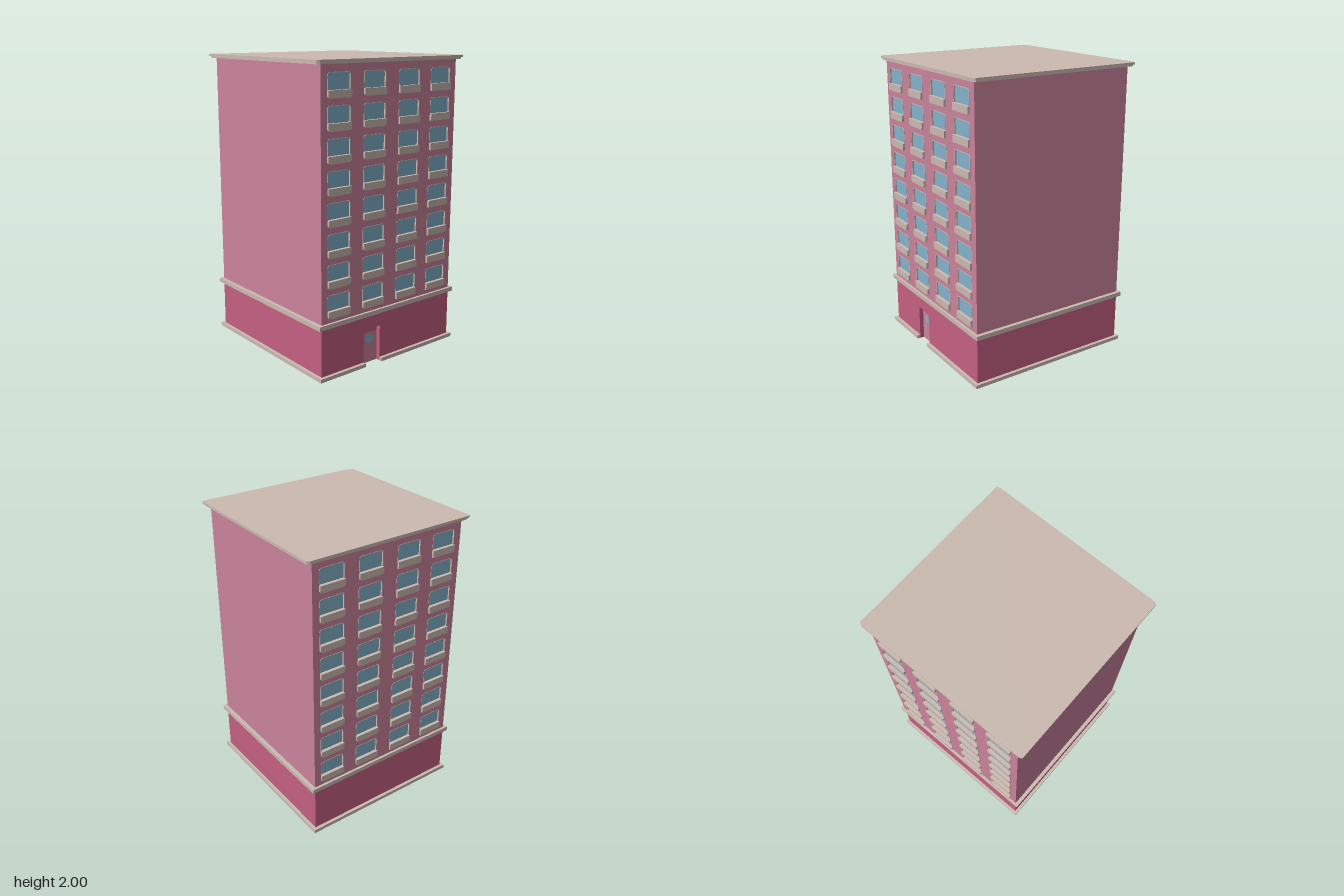
import * as THREE from 'three';

const mat = (name, color) => {
  const m = new THREE.MeshStandardMaterial({ color, side: THREE.DoubleSide });
  m.name = name;
  return m;
};

// Half width, half depth, and the heights of the two storeys' walls
const W = 0.57, D = 0.585, BAND = 0.36, TOP = 1.98;
const DOOR = { x0: -0.22, x1: -0.08, h: 0.25, recess: 0.03 };
const COLUMNS = [-0.432, -0.148, 0.145, 0.427];
const ROWS = 8, ROW_STEP = 0.1957, ROW_BASE = 0.405;
const WIN_W = 0.18, WIN_H = 0.152, SILL_H = 0.047;

// Rectangle with separate corner radii at the bottom and top
function roundRect(path, x0, y0, x1, y1, rb, rt) {
  path.moveTo(x0 + rb, y0);
  path.lineTo(x1 - rb, y0);
  path.quadraticCurveTo(x1, y0, x1, y0 + rb);
  path.lineTo(x1, y1 - rt);
  path.quadraticCurveTo(x1, y1, x1 - rt, y1);
  path.lineTo(x0 + rt, y1);
  path.quadraticCurveTo(x0, y1, x0, y1 - rt);
  path.lineTo(x0, y0 + rb);
  path.quadraticCurveTo(x0, y0, x0 + rb, y0);
  return path;
}

const extrude = (shape, depth) =>
  new THREE.ExtrudeGeometry(shape, { depth, bevelEnabled: false, curveSegments: 3 });

export function createModel() {
  const pink = mat('upper wall pink', 0xcb839c);
  const rose = mat('ground floor rose', 0xc56183);
  const stone = mat('trim beige', 0xcbbab1);
  const glass = mat('glass blue', 0x83b2cb);

  const model = new THREE.Group();
  model.name = 'apartmentBlock';

  const add = (parent, name, geometry, material, x = 0, y = 0, z = 0) => {
    const m = new THREE.Mesh(geometry, material);
    m.name = name;
    m.position.set(x, y, z);
    parent.add(m);
    return m;
  };
  // Box given by its limits
  const box = (parent, name, material, x0, x1, y0, y1, z0, z1) =>
    add(parent, name, new THREE.BoxGeometry(x1 - x0, y1 - y0, z1 - z0), material,
      (x0 + x1) / 2, (y0 + y1) / 2, (z0 + z1) / 2);

  // Plain side walls, open below
  for (const s of [-1, 1]) {
    add(model, 'upperSideWall', new THREE.PlaneGeometry(2 * D, TOP - BAND), pink,
      s * W, (TOP + BAND) / 2, 0).rotation.y = s * Math.PI / 2;
    add(model, 'groundSideWall', new THREE.PlaneGeometry(2 * D, BAND), rose,
      s * W, BAND / 2, 0).rotation.y = s * Math.PI / 2;
  }

  // Shared window pieces
  const h = WIN_W / 2;
  const outline = roundRect(new THREE.Shape(), -h, 0, h, WIN_H, 0.012, 0.018);
  outline.holes.push(roundRect(new THREE.Path(), -h + 0.004, 0.004, h - 0.004, WIN_H - 0.004, 0.01, 0.016));
  const frameGeo = extrude(outline, 0.014);
  const paneGeo = new THREE.ShapeGeometry(
    roundRect(new THREE.Shape(), -h, SILL_H - 0.005, h, WIN_H, 0.001, 0.018), 3);
  const squareSill = extrude(roundRect(new THREE.Shape(), -h, 0, h, SILL_H, 0.001, 0.001), 0.022);
  const roundSill = extrude(roundRect(new THREE.Shape(), -h, 0, h, SILL_H, 0.018, 0.001), 0.022);

  // Window facade, used for the front and turned round for the back
  function facade(name) {
    const g = new THREE.Group();
    g.name = name;
    const wall = roundRect(new THREE.Shape(), -W, BAND, W, TOP, 0, 0);
    COLUMNS.forEach((x, c) => {
      for (let r = 0; r < ROWS; r++) {
        const y = ROW_BASE + r * ROW_STEP;
        wall.holes.push(roundRect(new THREE.Path(), x - h, y, x + h, y + WIN_H, 0.012, 0.018));
        add(g, 'windowFrame', frameGeo, stone, x, y, D - 0.012);
        add(g, 'windowPane', paneGeo, glass, x, y, D - 0.008);
        add(g, 'balcony', c < 2 ? roundSill : squareSill, stone, x, y, D - 0.008);
      }
    });
    add(g, 'windowWall', new THREE.ShapeGeometry(wall, 3), pink, 0, 0, D);
    model.add(g);
    return g;
  }
  facade('frontFacade');
  facade('backFacade').rotation.y = Math.PI;

  // Ground floor front with the door opening, and the plain back
  const { x0, x1, h: dh, recess } = DOOR;
  const front = new THREE.Shape([
    [-W, 0], [x0, 0], [x0, dh], [x1, dh], [x1, 0], [W, 0], [W, BAND], [-W, BAND],
  ].map(([x, y]) => new THREE.Vector2(x, y)));
  add(model, 'groundFrontWall', new THREE.ShapeGeometry(front), rose, 0, 0, D);
  add(model, 'groundBackWall', new THREE.PlaneGeometry(2 * W, BAND), rose, 0, BAND / 2, -D)
    .rotation.y = Math.PI;

  // Recessed doorway
  const door = new THREE.Group();
  door.name = 'entrance';
  model.add(door);
  const dx = (x0 + x1) / 2;
  for (const x of [x0, x1]) {
    add(door, 'doorJamb', new THREE.PlaneGeometry(recess, dh), rose, x, dh / 2, D - recess / 2)
      .rotation.y = Math.PI / 2;
  }
  add(door, 'doorHead', new THREE.PlaneGeometry(x1 - x0, recess), rose, dx, dh, D - recess / 2)
    .rotation.x = Math.PI / 2;
  add(door, 'doorLeaf', new THREE.PlaneGeometry(x1 - x0, 0.21), pink, dx, 0.105, D - recess);
  add(door, 'doorTransom', new THREE.PlaneGeometry(x1 - x0, dh - 0.21), rose, dx, (dh + 0.21) / 2, D - recess);
  for (const dz of [0.002, -0.002]) {
    add(door, 'doorWindow', new THREE.CircleGeometry(0.036, 16), glass, dx, 0.168, D - recess + dz)
      .scale.y = 0.85;
  }

  // Trim around the walls; the base course leaves the doorway free
  function trim(name, y0, y1, ox, oz, gap) {
    const g = new THREE.Group();
    g.name = name;
    model.add(g);
    for (const s of [-1, 1]) {
      box(g, name + 'Side', stone, Math.min(s * W, s * ox), Math.max(s * W, s * ox), y0, y1, -oz, oz);
    }
    box(g, name + 'Back', stone, -W, W, y0, y1, -oz, -D);
    const spans = gap ? [[-W, x0], [x1, W]] : [[-W, W]];
    for (const [a, b] of spans) box(g, name + 'Front', stone, a, b, y0, y1, D, oz);
  }
  trim('baseCourse', 0, 0.025, 0.592, 0.607, true);
  trim('floorBand', 0.345, 0.375, 0.596, 0.602, false);

  // Flat roof with clipped corners: a narrow slab under a wider one
  function slab(name, w, d, y, t) {
    const c = 0.02;
    const s = new THREE.Shape([
      [-w + c, -d], [w - c, -d], [w, -d + c / 2], [w, d - c / 2],
      [w - c, d], [-w + c, d], [-w, d - c / 2], [-w, -d + c / 2],
    ].map(([a, b]) => new THREE.Vector2(a, b)));
    add(model, name, extrude(s, t), stone, 0, y, 0).rotation.x = -Math.PI / 2;
  }
  slab('roofEaves', 0.608, 0.604, 1.974, 0.012);
  slab('roofSlab', 0.618, 0.614, 1.985, 0.015);

  return model;
}
